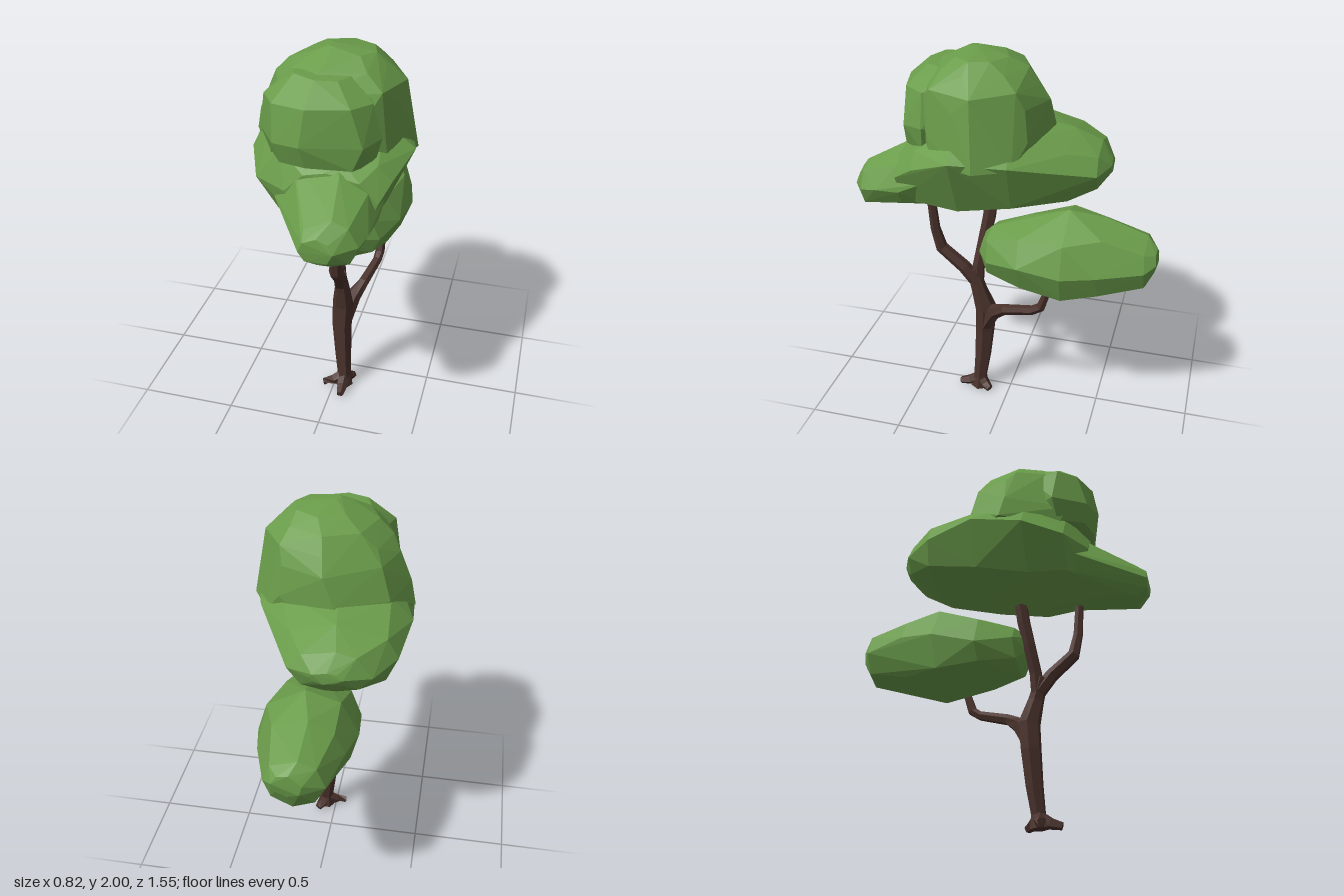
import * as THREE from 'three';
import { ConvexGeometry } from 'three/addons/geometries/ConvexGeometry.js';

const leaf = new THREE.MeshStandardMaterial({ color: 0x6a9c4a, flatShading: true });
const bark = new THREE.MeshStandardMaterial({ color: 0x4a322c, flatShading: true });

let seed = 7;
const rand = () => (seed = (seed * 16807) % 2147483647) / 2147483647 - 0.5;

// Faceted clump: hull around rings [position, uMin, uMax, vMin, vMid, vMax],
// stacked along z (u = x, v = y) or along y (u = x, v = z).
function clump(name, axis, rings) {
  const points = [];
  for (const [p, u0, u1, v0, vm, v1] of rings) {
    for (let i = 0; i < 8; i++) {
      const a = (i / 8) * Math.PI * 2 + rand() * 0.35;
      const c = Math.cos(a), s = Math.sin(a);
      const u = (u0 + u1) / 2 + c * (u1 - u0) / 2;
      const v = vm + s * (s > 0 ? v1 - vm : vm - v0);
      const q = p + rand() * 0.015;
      points.push(axis === 'z' ? new THREE.Vector3(u, v, q) : new THREE.Vector3(u, Math.min(q, 2), v));
    }
  }
  const mesh = new THREE.Mesh(new ConvexGeometry(points), leaf);
  mesh.name = name;
  return mesh;
}

// Tapered six-sided limb through stations [x, y, z, radius], capped at both ends.
function limb(name, stations, sides = 6) {
  const pts = stations.map(([x, y, z]) => new THREE.Vector3(x, y, z));
  const pos = [], idx = [], n = pts.length;
  pts.forEach((p, i) => {
    const t = pts[Math.min(i + 1, n - 1)].clone().sub(pts[Math.max(i - 1, 0)]).normalize();
    const ref = Math.abs(t.x) > 0.9 ? new THREE.Vector3(0, 1, 0) : new THREE.Vector3(1, 0, 0);
    const b = new THREE.Vector3().crossVectors(t, ref).normalize();
    const a = new THREE.Vector3().crossVectors(b, t);
    for (let k = 0; k < sides; k++) {
      const w = (k / sides) * Math.PI * 2, r = stations[i][3];
      const v = p.clone().addScaledVector(a, Math.cos(w) * r).addScaledVector(b, Math.sin(w) * r);
      pos.push(v.x, Math.max(v.y, 0), v.z);
    }
  });
  for (let i = 0; i < n - 1; i++) {
    for (let k = 0; k < sides; k++) {
      const a = i * sides + k, b = i * sides + (k + 1) % sides;
      idx.push(a, a + sides, b, b, a + sides, b + sides);
    }
  }
  for (let k = 1; k < sides - 1; k++) {
    const e = (n - 1) * sides;
    idx.push(0, k, k + 1, e, e + k + 1, e + k);
  }
  const g = new THREE.BufferGeometry();
  g.setAttribute('position', new THREE.Float32BufferAttribute(pos, 3));
  g.setIndex(idx);
  g.computeVertexNormals();
  const mesh = new THREE.Mesh(g, bark);
  mesh.material.side = THREE.DoubleSide;
  mesh.name = name;
  return mesh;
}

export function createModel() {
  const tree = new THREE.Group();
  tree.name = 'tree';

  // Trunk, roots and branches
  const wood = new THREE.Group();
  wood.name = 'wood';
  wood.add(
    limb('trunk', [[0.055, 0.01, 0.17, 0.05], [0.055, 0.08, 0.165, 0.038], [0.045, 0.22, 0.15, 0.046],
      [0.035, 0.4, 0.138, 0.054], [0.04, 0.54, 0.13, 0.058], [0.045, 0.66, 0.165, 0.042], [0.04, 0.78, 0.2, 0.034]]),
    limb('frontBranch', [[0.04, 0.7, 0.18, 0.036], [0.05, 0.79, 0.245, 0.036], [0.06, 0.9, 0.365, 0.033],
      [0.075, 1.02, 0.39, 0.026], [0.09, 1.25, 0.405, 0.022]]),
    limb('middleBranch', [[0.04, 0.68, 0.175, 0.034], [0.03, 0.8, 0.17, 0.034], [0, 0.95, 0.145, 0.034],
      [-0.015, 1.08, 0.12, 0.036], [-0.03, 1.25, 0.1, 0.034]]),
    limb('backBranch', [[0.05, 0.44, 0.13, 0.042], [0.08, 0.55, 0.07, 0.042], [0.12, 0.6, 0.0, 0.029],
      [0.16, 0.65, -0.16, 0.025], [0.165, 0.68, -0.205, 0.026], [0.17, 0.8, -0.245, 0.02]]),
  );
  for (const [x, z] of [[-0.055, 0.2], [0.06, 0.28], [0.095, 0.1]]) {
    wood.add(limb('root', [[0.055, 0.07, 0.165, 0.034], [(x + 0.055) / 2, 0.035, (z + 0.165) / 2, 0.03], [x, 0.02, z, 0.02]], 5));
  }
  tree.add(wood);

  // Main canopy: broad body, nose reaching forward, dome above
  const canopy = new THREE.Group();
  canopy.name = 'mainCanopy';
  canopy.add(
    clump('canopyBody', 'z', [
      [-0.505, -0.14, 0.02, 1.4, 1.43, 1.46],
      [-0.45, -0.27, 0.13, 1.32, 1.43, 1.54],
      [-0.31, -0.37, 0.2, 1.22, 1.46, 1.6],
      [-0.06, -0.41, 0.34, 1.17, 1.5, 1.66],
      [0.2, -0.4, 0.41, 1.15, 1.52, 1.7],
      [0.4, -0.32, 0.34, 1.18, 1.45, 1.6],
      [0.5, -0.15, 0.3, 1.2, 1.38, 1.52],
    ]),
    clump('canopyNose', 'z', [
      [0.36, -0.26, 0.31, 1.19, 1.36, 1.57],
      [0.5, -0.13, 0.3, 1.19, 1.33, 1.52],
      [0.62, -0.05, 0.285, 1.19, 1.29, 1.43],
      [0.71, -0.01, 0.26, 1.17, 1.28, 1.41],
      [0.77, 0.0, 0.16, 1.21, 1.27, 1.34],
    ]),
    clump('canopyDome', 'y', [
      [1.5, -0.41, 0.4, -0.2, 0.12, 0.42],
      [1.62, -0.38, 0.36, -0.22, 0.12, 0.48],
      [1.77, -0.32, 0.33, -0.2, 0.14, 0.46],
      [1.85, -0.28, 0.34, -0.15, 0.14, 0.42],
      [1.92, -0.21, 0.25, -0.1, 0.14, 0.35],
      [1.97, -0.1, 0.2, -0.01, 0.14, 0.25],
      [2.0, -0.02, 0.05, 0.13, 0.17, 0.2],
    ]),
    clump('canopyFrontLobe', 'y', [
      [1.54, -0.25, 0.25, 0.2, 0.38, 0.52],
      [1.65, -0.3, 0.28, 0.15, 0.35, 0.55],
      [1.82, -0.27, 0.24, 0.15, 0.34, 0.52],
      [1.92, -0.16, 0.14, 0.15, 0.28, 0.41],
    ]),
  );
  tree.add(canopy);

  // Lower canopy carried by the back branch
  tree.add(clump('backCanopy', 'z', [
    [0.125, -0.02, 0.14, 0.88, 0.95, 1.02],
    [0.08, -0.09, 0.22, 0.81, 0.95, 1.08],
    [-0.1, -0.18, 0.29, 0.76, 0.95, 1.14],
    [-0.32, -0.2, 0.315, 0.71, 0.95, 1.22],
    [-0.5, -0.16, 0.28, 0.76, 0.97, 1.18],
    [-0.72, -0.1, 0.2, 0.83, 0.98, 1.11],
    [-0.77, 0.0, 0.15, 0.93, 1.0, 1.06],
  ]));
  return tree;
}
